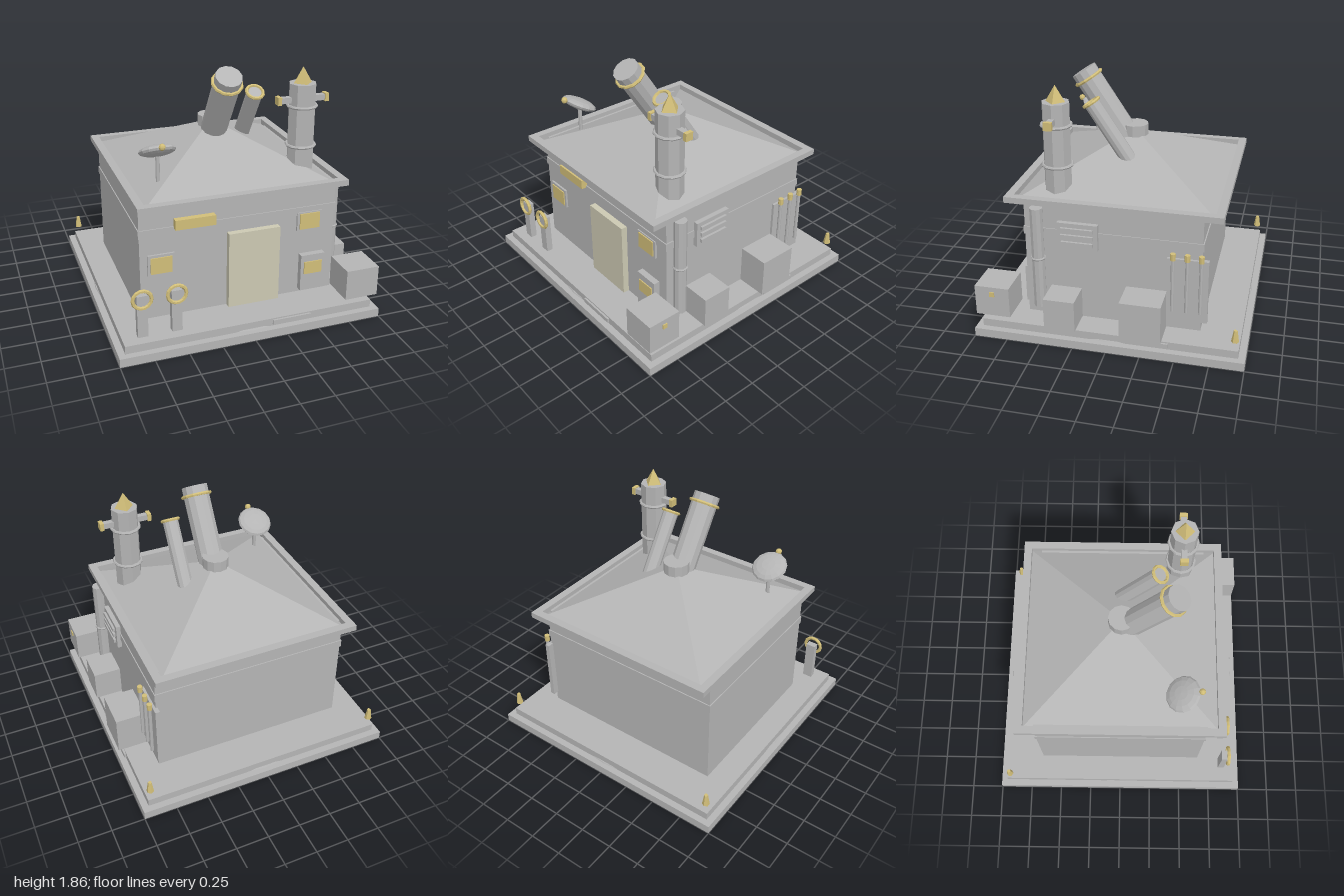
import * as THREE from 'three';

const mat = (name, color) => {
  const m = new THREE.MeshStandardMaterial({ color, flatShading: true });
  m.name = name;
  return m;
};

export function createModel() {
  const grey = mat('wall grey', 0xb4b4b4);
  const gold = mat('trim gold', 0xd0bd78);
  const cream = mat('door cream', 0xcbc8b2);
  const model = new THREE.Group();

  const add = (name, geo, m, x, y, z, parent = model) => {
    const mesh = new THREE.Mesh(geo, m);
    mesh.name = name;
    mesh.position.set(x, y, z);
    parent.add(mesh);
    return mesh;
  };
  // Box given by its extents on each axis
  const box = (name, m, x0, x1, y0, y1, z0, z1) =>
    add(name, new THREE.BoxGeometry(x1 - x0, y1 - y0, z1 - z0), m,
      (x0 + x1) / 2, (y0 + y1) / 2, (z0 + z1) / 2);
  // Upright cylinder or cone between two heights
  const cyl = (name, m, x, z, y0, y1, rTop, rBottom = rTop, sides = 8, parent = model) =>
    add(name, new THREE.CylinderGeometry(rTop, rBottom, y1 - y0, sides), m, x, (y0 + y1) / 2, z, parent);
  // Horizontal ring
  const ring = (name, m, x, y, z, r, tube, sides = 12, parent = model) => {
    const mesh = add(name, new THREE.TorusGeometry(r, tube, 6, sides), m, x, y, z, parent);
    mesh.rotation.x = Math.PI / 2;
    return mesh;
  };

  // Stepped base
  box('baseSlab', grey, -1, 1, 0, 0.065, -1, 1);
  box('baseStep', grey, -0.95, 0.95, 0.065, 0.125, -0.95, 0.95);
  ring('baseRing', grey, 0, 0.06, 0, 0.95, 0.016, 32);
  box('frontPlate', grey, 0.15, 0.45, 0.08, 0.115, 0.94, 0.965);
  box('sidePlate', grey, 0.94, 0.965, 0.08, 0.115, -0.45, -0.15);

  // Walls, band and roof
  box('walls', grey, -0.755, 0.755, 0.125, 1.03, -0.652, 0.652);
  box('wallBand', grey, -0.762, 0.762, 0.775, 0.835, -0.66, 0.66);
  const rim = new THREE.Shape();
  const square = (p, r) => p.moveTo(-r, -r).lineTo(r, -r).lineTo(r, r).lineTo(-r, r).closePath();
  square(rim, 0.79);
  const opening = new THREE.Path();
  square(opening, 0.73);
  rim.holes.push(opening);
  add('roofRim', new THREE.ExtrudeGeometry(rim, { depth: 0.045, bevelEnabled: false }), grey, 0, 1.065, 0)
    .rotation.x = Math.PI / 2;
  const roof = new THREE.ConeGeometry(0.732 * Math.SQRT2, 0.35, 4);
  roof.rotateY(Math.PI / 4);
  add('roof', roof, grey, 0, 1.195, 0);
  cyl('roofCap', grey, 0, 0, 1.33, 1.415, 0.1, 0.1, 12);

  // Tilted tubes on the roof
  const tilted = (name, x, y, z, r, length, ringBack, ringR) => {
    const g = new THREE.Group();
    g.name = name;
    g.position.set(x, y, z);
    g.rotation.x = 0.588;
    cyl(name + 'Barrel', grey, 0, 0, -length, 0, r, r, 12, g);
    ring(name + 'Ring', gold, 0, -ringBack, 0, ringR, 0.013, 12, g);
    model.add(g);
  };
  tilted('largeTube', 0, 1.805, 0.4, 0.1, 0.7, 0.07, 0.108);
  tilted('smallTube', 0.25, 1.635, 0.275, 0.06, 0.54, 0, 0.063);

  // Tower with side arms
  cyl('tower', grey, 0.55, 0.45, 1.04, 1.725, 0.102);
  for (const y of [1.257, 1.557]) ring('towerRing', grey, 0.55, y, 0.45, 0.107, 0.012);
  cyl('towerTip', gold, 0.55, 0.45, 1.725, 1.845, 0, 0.072, 4);
  box('towerArms', grey, 0.37, 0.73, 1.583, 1.627, 0.428, 0.472);
  for (const s of [-1, 1]) {
    box('armEnd', gold, 0.55 + s * 0.187 - 0.015, 0.55 + s * 0.187 + 0.015, 1.575, 1.635, 0.42, 0.48);
  }

  // Dish on a mast
  cyl('dishMast', grey, -0.55, 0.45, 1.04, 1.32, 0.016);
  const dish = new THREE.Group();
  dish.name = 'dish';
  dish.position.set(-0.55, 1.335, 0.45);
  dish.rotation.x = -0.5;
  add('dishBowl', new THREE.SphereGeometry(0.137, 14, 8), grey, 0, 0, 0, dish).scale.y = 0.3;
  model.add(dish);
  add('dishBall', new THREE.SphereGeometry(0.025, 8, 6), gold, -0.55, 1.405, 0.582);
  const stalk = cyl('dishStalk', gold, -0.55, 0.55, 1.35, 1.41, 0.008, 0.008, 6);
  stalk.rotation.x = 0.8;

  // Front wall
  box('door', cream, -0.1, 0.3, 0.125, 0.725, 0.64, 0.7);
  box('signBoard', gold, -0.5, -0.2, 0.82, 0.895, 0.65, 0.7);
  const framed = (name, x0, x1, y0, y1, zf, gx0, gx1, gy0, gy1) => {
    box(name + 'Frame', grey, x0, x1, y0, y1, 0.64, zf);
    box(name + 'Pane', gold, gx0, gx1, gy0, gy1, zf - 0.001, zf + 0.008);
  };
  framed('leftWindow', 0.45, 0.65, 0.65, 0.795, 0.668, 0.47, 0.63, 0.66, 0.785);
  framed('rightWindow', -0.7, -0.5, 0.475, 0.635, 0.668, -0.68, -0.52, 0.49, 0.615);
  framed('wallUnit', 0.48, 0.675, 0.155, 0.45, 0.7, 0.505, 0.65, 0.295, 0.395);

  // Ring posts
  for (const x of [-0.8, -0.55]) {
    box('ringPost', grey, x - 0.038, x + 0.038, 0.125, 0.45, 0.825, 0.875);
    add('postRing', new THREE.TorusGeometry(0.068, 0.014, 6, 14), gold, x, 0.425, 0.877);
  }

  // Corner markers
  for (const x of [-0.92, 0.92]) cyl('cornerMarker', gold, x, -0.92, 0.185, 0.275, 0.014, 0.028, 6);

  // Downspout
  cyl('downspout', grey, 0.785, 0.55, 0.205, 1.005, 0.048, 0.048, 10);
  ring('downspoutRing', grey, 0.785, 0.605, 0.55, 0.047, 0.01, 10);

  // Louvred vent
  box('vent', grey, 0.74, 0.79, 0.705, 0.905, 0.1, 0.4);
  for (const y of [0.75, 0.805, 0.858]) box('ventSlat', grey, 0.78, 0.808, y - 0.014, y + 0.014, 0.133, 0.37);

  // Utility boxes
  box('mediumBox', grey, 0.75, 0.97, 0.125, 0.365, 0.235, 0.467);
  box('largeBox', grey, 0.75, 0.99, 0.125, 0.425, -0.4, -0.1);
  box('cornerBox', grey, 0.72, 0.98, 0.185, 0.42, 0.722, 0.982);
  box('boxButton', gold, 0.979, 0.988, 0.345, 0.382, 0.833, 0.87);

  // Panel with capped pipes
  box('pipePanel', grey, 0.74, 0.775, 0.205, 0.705, -0.7, -0.4);
  for (const z of [-0.447, -0.55, -0.65]) {
    cyl('panelPipe', grey, 0.8, z, 0.295, 0.71, 0.014);
    cyl('pipeCap', gold, 0.8, z, 0.71, 0.76, 0.02);
  }

  return model;
}
